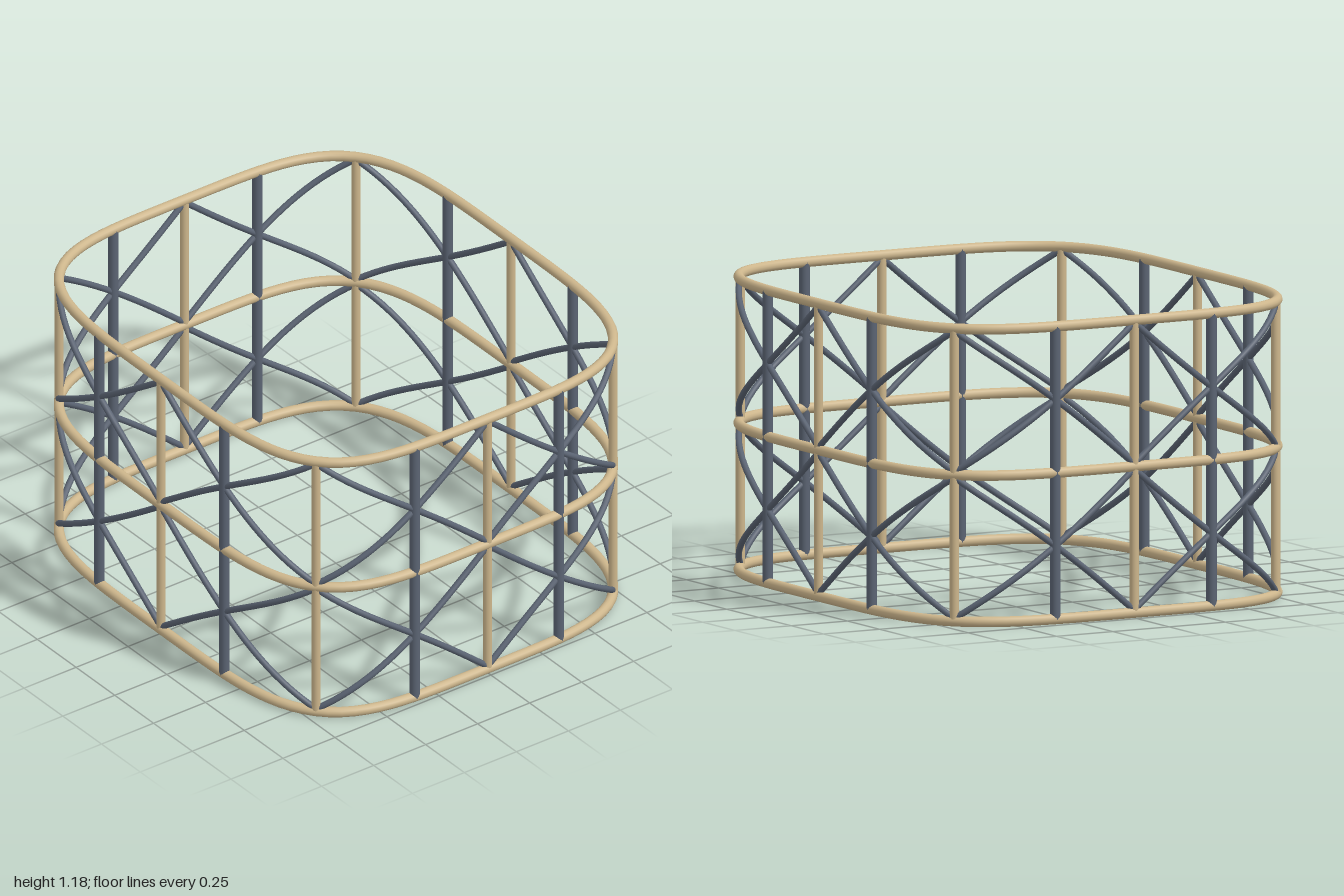
import * as THREE from 'three';

const HALF_X = 0.979, HALF_Z = 0.842, POWER = 4.2;
const LEVELS = [0.0205, 0.591, 1.1615];

// Point on the rounded-rectangle plan at a given angle
function planPoint(angle, y) {
  const c = Math.cos(angle), s = Math.sin(angle);
  const r = Math.pow(Math.abs(c) ** POWER + Math.abs(s) ** POWER, -1 / POWER);
  return new THREE.Vector3(HALF_X * r * c, y, HALF_Z * r * s);
}

// Path that follows the plan while climbing from y0 to y1
class WallCurve extends THREE.Curve {
  constructor(a0, a1, y0, y1) {
    super();
    Object.assign(this, { a0, a1, y0, y1 });
  }
  getPoint(t, target = new THREE.Vector3()) {
    const { a0, a1, y0, y1 } = this;
    return target.copy(planPoint(a0 + (a1 - a0) * t, y0 + (y1 - y0) * t));
  }
}

export function createModel() {
  const model = new THREE.Group();
  const tan = new THREE.MeshStandardMaterial({ color: 0xcdb68c });
  tan.name = 'tan';
  const slate = new THREE.MeshStandardMaterial({ color: 0x5b6473 });
  slate.name = 'slate';

  function add(name, geometry, material) {
    const mesh = new THREE.Mesh(geometry, material);
    mesh.name = name;
    model.add(mesh);
    return mesh;
  }

  // Three horizontal rings
  ['bottomRing', 'middleRing', 'topRing'].forEach((name, i) => {
    const path = new WallCurve(0, Math.PI * 2, LEVELS[i], LEVELS[i]);
    add(name, new THREE.TubeGeometry(path, 128, 0.0205, 14, true), tan);
  });

  // Sixteen posts, alternating main and intermediate
  const height = LEVELS[2] - LEVELS[0];
  for (let i = 0; i < 16; i++) {
    const main = i % 2 === 0;
    const radius = main ? 0.018 : 0.0205;
    const post = add(main ? 'mainPost' : 'intermediatePost',
      new THREE.CylinderGeometry(radius, radius, height, 14), main ? tan : slate);
    post.position.copy(planPoint(i * Math.PI / 8, LEVELS[0] + height / 2));
  }

  // Curved cross braces in every bay of both tiers
  const inset = 0.01;
  for (let tier = 0; tier < 2; tier++) {
    const low = LEVELS[tier] + inset, high = LEVELS[tier + 1] - inset;
    for (let bay = 0; bay < 8; bay++) {
      const a0 = bay * Math.PI / 4, a1 = a0 + Math.PI / 4;
      for (const [y0, y1] of [[low, high], [high, low]]) {
        const path = new WallCurve(a0, a1, y0, y1);
        add('crossBrace', new THREE.TubeGeometry(path, 24, 0.0125, 10), slate);
      }
    }
  }
  return model;
}
